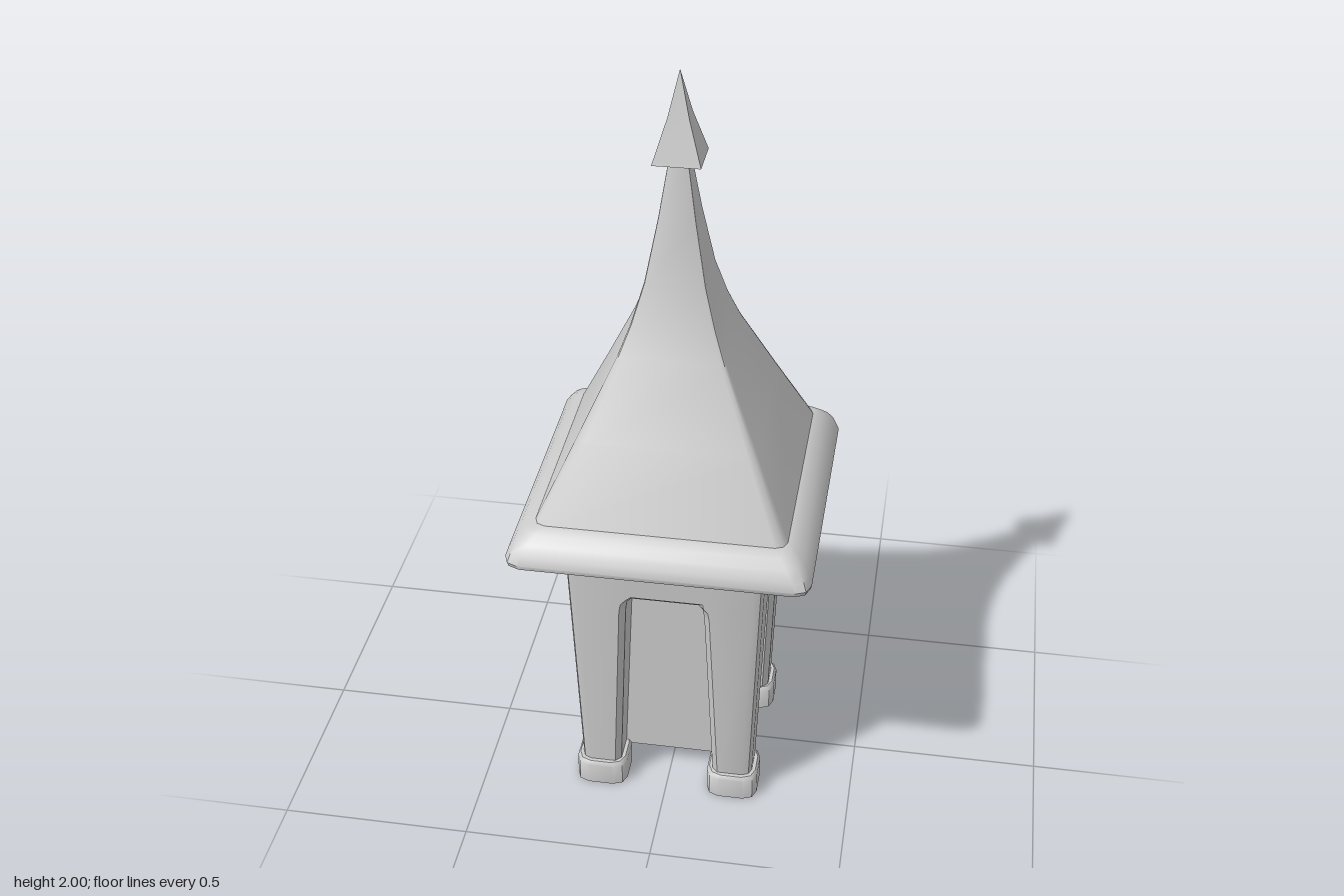
import * as THREE from 'three';
import { toCreasedNormals } from 'three/addons/utils/BufferGeometryUtils.js';

const Z = 1.03; // the tower is slightly deeper than wide
const material = new THREE.MeshStandardMaterial({ color: 0xcccccc, side: THREE.DoubleSide });

// Repeats one side's [along, outward] points around four sides, counter-clockwise from above.
function fourSides(points) {
  const loop = [];
  for (const [c, s] of [[1, 0], [0, 1], [-1, 0], [0, -1]]) {
    for (const [t, d] of points) loop.push(new THREE.Vector2(c * d - s * t, s * d + c * t));
  }
  return loop;
}

// Square of half-width h with softened corners of size r.
const square = (h, r) => fourSides([[r - h, h], [h - r, h], [h - 0.29 * r, h - 0.29 * r]]);

// Skins a stack of { y, loop } sections, with optional flat ends.
function loft(name, sections, { bottom = false, top = false, zScale = Z, crease = 0.68 } = {}) {
  const pos = [];
  const tri = (a, b, c) => {
    const area = b.clone().sub(a).cross(c.clone().sub(a)).length();
    if (area > 1e-8) for (const p of [a, b, c]) pos.push(p.x, p.y, p.z);
  };
  const rings = sections.map(({ y, loop }) => loop.map((p) => new THREE.Vector3(p.x, y, -p.y * zScale)));
  for (let k = 0; k + 1 < rings.length; k++) {
    const lo = rings[k], hi = rings[k + 1];
    lo.forEach((p, i) => {
      const j = (i + 1) % lo.length;
      tri(p, lo[j], hi[j]);
      tri(p, hi[j], hi[i]);
    });
  }
  const cap = (k, flip) => {
    for (const [a, b, c] of THREE.ShapeUtils.triangulateShape(sections[k].loop, [])) {
      const r = rings[k];
      if (flip) tri(r[a], r[c], r[b]); else tri(r[a], r[b], r[c]);
    }
  };
  if (bottom) cap(0, true);
  if (top) cap(sections.length - 1, false);
  const geometry = new THREE.BufferGeometry();
  geometry.setAttribute('position', new THREE.Float32BufferAttribute(pos, 3));
  const mesh = new THREE.Mesh(toCreasedNormals(geometry, crease), material);
  mesh.name = name;
  return mesh;
}

// Stack of softened squares from [half-width, y] pairs.
const stack = (profile, corner) => profile.map(([h, y]) => ({ y, loop: square(h, corner(h)) }));

// Body section: a square with a bevelled niche of half-width w cut into each side.
function bodySection(y, w, depth) {
  const h = 0.233 + 0.027 * (y - 0.06) / 0.76;
  const c = 0.025, b = 0.015;
  const lip = depth === 'none' ? h : h - b;
  const back = depth === 'full' ? 0.145 : lip;
  return {
    y,
    loop: fourSides([
      [c - h, h], [-w - b, h], [-w, lip], [-w, back],
      [w, back], [w, lip], [w + b, h], [h - c, h],
      [h - 0.29 * c, h - 0.29 * c],
    ]),
  };
}

export function createModel() {
  const model = new THREE.Group();
  model.name = 'tower';

  // Tapered body: corner legs around a recessed core
  model.add(loft('body', [
    bodySection(0.06, 0.127, 'full'),
    bodySection(0.61, 0.103, 'full'),
    bodySection(0.635, 0.099, 'full'),
    bodySection(0.648, 0.088, 'full'),
    bodySection(0.648, 0.088, 'lip'),
    bodySection(0.663, 0.086, 'none'),
    bodySection(0.82, 0.086, 'none'),
  ], { bottom: true }));

  // Hollow feet under the legs
  const footProfile = [[0.069, 0], [0.069, 0.062], [0.063, 0.072], [0.05, 0.072]];
  for (const sx of [1, -1]) {
    for (const sz of [1, -1]) {
      const foot = loft('foot', stack(footProfile, () => 0.035), { zScale: 1 });
      foot.position.set(sx * 0.18, 0, sz * 0.188);
      model.add(foot);
    }
  }

  // Rounded eave
  model.add(loft('eave', stack([
    [0.37, 0.812], [0.381, 0.82], [0.384, 0.832], [0.376, 0.855],
    [0.36, 0.88], [0.34, 0.9], [0.318, 0.912],
  ], (h) => h * 0.1), { bottom: true, top: true }));

  // Flared roof sweeping up to the spire
  model.add(loft('roof', stack([
    [0.318, 0.908], [0.225, 1.105], [0.135, 1.3], [0.105, 1.38],
    [0.076, 1.48], [0.046, 1.64], [0.021, 1.8],
  ], (h) => h * 0.09), { top: true }));

  // Pointed finial with a slightly raised underside
  model.add(loft('finial', stack([
    [0.015, 1.8], [0.059, 1.782], [0.026, 1.89], [0.0005, 2],
  ], () => 0), { zScale: 1, crease: 0.5 }));

  return model;
}
